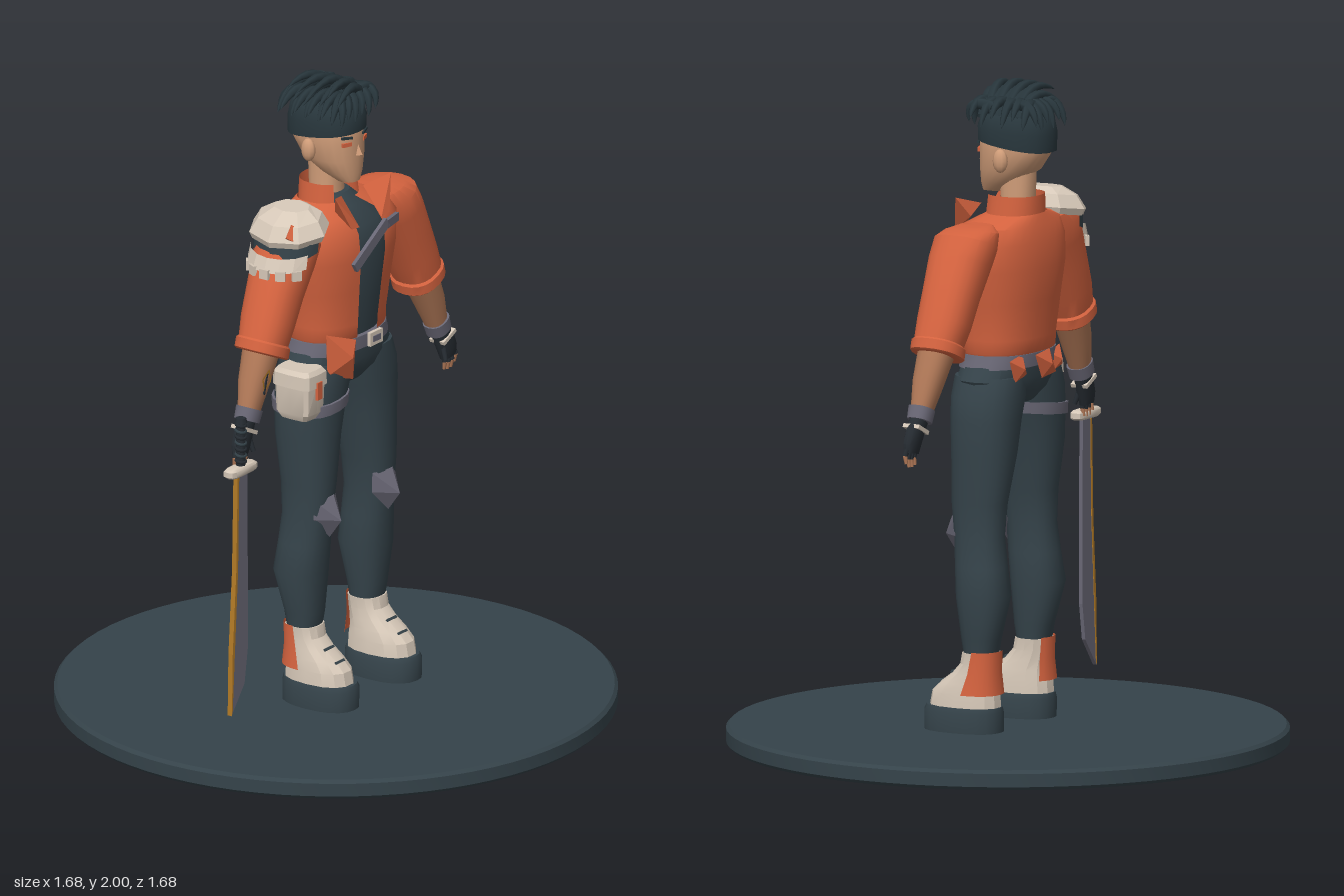
import * as THREE from 'three';
import { toCreasedNormals } from 'three/addons/utils/BufferGeometryUtils.js';
import { ConvexGeometry } from 'three/addons/geometries/ConvexGeometry.js';

const mat = (name, color) => {
  const m = new THREE.MeshStandardMaterial({ color, side: THREE.DoubleSide });
  m.name = name;
  return m;
};
const V = (x, y, z) => new THREE.Vector3(x, y, z);

// Skin a stack of rings, bottom to top: [y, x, z, radiusX, radiusZ, tiltX, tiltZ]
function loft(rows, { n = 20, from = 0, to = 360, crease = 0.7, e = 0.85 } = {}) {
  const pos = [], idx = [], w = n + 1, full = to - from === 360;
  const pw = (v) => Math.sign(v) * Math.abs(v) ** e;
  for (const [y, cx, cz, rx, rz, tx = 0, tz = 0] of rows) {
    for (let i = 0; i <= n; i++) {
      const a = THREE.MathUtils.degToRad(from + ((to - from) * i) / n);
      const dx = rx * pw(Math.cos(a)), dz = rz * pw(Math.sin(a));
      pos.push(cx + dx, y + tx * dx + tz * dz, cz + dz);
    }
  }
  for (let j = 0; j < rows.length - 1; j++) {
    for (let i = 0; i < n; i++) {
      const a = j * w + i, c = a + w;
      idx.push(a + 1, a, c, a + 1, c, c + 1);
    }
  }
  if (full) {
    [0, rows.length - 1].forEach((j) => {
      const c = pos.length / 3, [y, x, z] = rows[j];
      pos.push(x, y, z);
      for (let i = 0; i < n; i++) {
        const a = j * w + i;
        j ? idx.push(c, a + 1, a) : idx.push(c, a, a + 1);
      }
    });
  }
  const g = new THREE.BufferGeometry();
  g.setAttribute('position', new THREE.Float32BufferAttribute(pos, 3));
  g.setIndex(idx);
  return toCreasedNormals(g, crease);
}

// Flat plate cut from an outline in the xy plane
function plate(points, z, depth = 0.008) {
  const s = new THREE.Shape(points.map(([x, y]) => new THREE.Vector2(x, y)));
  return new THREE.ExtrudeGeometry(s, { depth, bevelEnabled: false }).translate(0, 0, z);
}

// Tapered curved hair lock
function lock(a, b, c, r) {
  const curve = new THREE.QuadraticBezierCurve3(a, b, c);
  const g = new THREE.TubeGeometry(curve, 8, r, 6, false), p = g.attributes.position;
  for (let i = 0; i < p.count; i++) {
    const t = Math.floor(i / 7) / 8, o = curve.getPointAt(t);
    const v = V().fromBufferAttribute(p, i).sub(o).multiplyScalar((1 - t) ** 0.6).add(o);
    p.setXYZ(i, v.x, v.y, v.z);
  }
  return g;
}

export function createModel() {
  const root = new THREE.Group();
  root.name = 'swordFighter';
  const dark = mat('dark slate', 0x35434a), hairMat = mat('hair', 0x28363c), black = mat('glove black', 0x262c32);
  const orange = mat('jacket orange', 0xd5633f), skin = mat('skin', 0xcf9c78), tan = mat('arm skin', 0xb07857);
  const cream = mat('cream', 0xd6c8b8), grey = mat('purple grey', 0x696775), gold = mat('gold', 0xb27a26);

  const add = (name, geo, m) => {
    const mesh = new THREE.Mesh(geo, m);
    mesh.name = name;
    root.add(mesh);
    return mesh;
  };
  const box = (name, m, w, h, d, x, y, z, rx = 0, ry = 0, rz = 0) => {
    const b = add(name, new THREE.BoxGeometry(w, h, d), m);
    b.position.set(x, y, z);
    b.rotation.set(rx, ry, rz);
    return b;
  };
  const rod = (name, m, a, b, r, r2 = r) => {
    const c = add(name, new THREE.CylinderGeometry(r2, r, a.distanceTo(b), 8), m);
    c.position.copy(a).lerp(b, 0.5);
    c.quaternion.setFromUnitVectors(V(0, 1, 0), b.clone().sub(a).normalize());
    return c;
  };

  // Display base
  const rim = [[0, 0], [0.83, 0], [0.84, 0.01], [0.84, 0.05], [0.83, 0.06], [0, 0.06]];
  add('base', toCreasedNormals(new THREE.LatheGeometry(rim.map(([x, y]) => new THREE.Vector2(x, y)), 72), 0.6), dark);

  // Trunk
  add('pelvis', loft([[1.04, 0, 0, 0.07, 0.07], [1.08, 0, 0, 0.19, 0.1], [1.12, 0, 0, 0.212, 0.112], [1.19, 0, 0, 0.175, 0.11]]), dark);
  add('shirt', loft([[1.17, 0, 0, 0.15, 0.1], [1.3, 0, 0, 0.17, 0.115], [1.46, 0, 0, 0.19, 0.124],
    [1.54, 0, 0, 0.18, 0.11], [1.59, 0, -0.02, 0.1, 0.085], [1.625, 0, -0.03, 0.062, 0.062]]), dark);
  add('jacketBody', loft([[1.185, 0, 0, 0.165, 0.108], [1.2, 0, 0, 0.175, 0.118], [1.24, 0, 0, 0.175, 0.12],
    [1.35, 0, 0, 0.195, 0.13], [1.45, 0, 0, 0.215, 0.14], [1.53, 0, 0, 0.225, 0.134], [1.58, 0, -0.01, 0.2, 0.112],
    [1.61, 0, -0.03, 0.1, 0.08]], { n: 32, from: 103, to: 437 }), orange);
  add('collar', loft([[1.57, 0, -0.025, 0.095, 0.085], [1.665, 0, -0.03, 0.085, 0.08]], { from: 130, to: 410 }), orange);
  for (const s of [1, -1]) {
    add('lapel', new ConvexGeometry([V(s * 0.055, 1.635, 0.06), V(s * 0.14, 1.66, 0.1), V(s * 0.095, 1.555, 0.128),
      V(s * 0.055, 1.55, 0.128), V(s * 0.1, 1.6, 0.07)]), orange);
  }
  add('belt', loft([[1.155, 0, 0, 0.192, 0.118], [1.195, 0, 0, 0.18, 0.118]]), grey);
  box('buckle', cream, 0.062, 0.042, 0.012, 0.03, 1.175, 0.122);
  box('buckleCentre', grey, 0.038, 0.018, 0.006, 0.03, 1.175, 0.128);
  box('chestStrap', grey, 0.19, 0.032, 0.012, -0.02, 1.487, 0.143, 0, 0, 0.56);
  box('chestStrapEnd', grey, 0.075, 0.026, 0.012, 0.095, 1.53, 0.136, 0, 0.2, 0);
  add('waistSash', new ConvexGeometry([V(-0.165, 1.23, 0.085), V(-0.065, 1.195, 0.122), V(-0.07, 1.07, 0.115),
    V(-0.165, 1.1, 0.09), V(-0.1, 1.15, 0.137), V(-0.13, 1.15, 0.06)]), orange);
  for (const [x, z, w] of [[0.11, -0.1, 0.06], [-0.02, -0.118, 0.07], [-0.11, -0.1, 0.045]]) {
    const k = add('backSash', toCreasedNormals(new THREE.OctahedronGeometry(1), 0.1), orange);
    k.scale.set(w, 0.048, 0.024);
    k.position.set(x, 1.155, z);
    k.rotation.z = 0.5;
  }

  // Legs, knee pads and boots
  for (const s of [1, -1]) {
    const x = s * 0.157;
    add('leg', loft([[0.27, x, 0, 0.052, 0.045], [0.34, x, 0, 0.058, 0.058], [0.47, s * 0.162, -0.01, 0.078, 0.08],
      [0.56, s * 0.158, 0, 0.07, 0.078], [0.65, s * 0.155, 0.008, 0.062, 0.077], [0.75, s * 0.15, 0.01, 0.07, 0.085],
      [0.9, s * 0.14, 0, 0.088, 0.098], [1, s * 0.13, 0, 0.1, 0.103], [1.07, s * 0.115, 0, 0.108, 0.107],
      [1.13, s * 0.1, 0, 0.1, 0.105]]), dark);
    const k = s * 0.147;
    add('kneePad', new ConvexGeometry([V(k - 0.053, 0.71, 0.065), V(k + 0.053, 0.71, 0.065), V(k - 0.055, 0.65, 0.065),
      V(k + 0.055, 0.65, 0.065), V(k, 0.585, 0.085), V(k, 0.645, 0.128), V(k, 0.72, 0.1)]), grey);
    add('bootSole', loft([[0.06, x, 0.06, 0.079, 0.125], [0.12, x, 0.06, 0.08, 0.125], [0.135, x, 0.058, 0.074, 0.12]]), dark);
    add('boot', loft([[0.13, x, 0.055, 0.07, 0.114], [0.175, x, 0.052, 0.068, 0.108], [0.205, x, 0.04, 0.063, 0.09],
      [0.235, x, 0.02, 0.058, 0.07], [0.265, x, 0.005, 0.055, 0.058], [0.3, x, 0, 0.057, 0.055]], { n: 14, crease: 0.4 }), cream);
    const a = s > 0 ? 230 : 180;
    add('bootHeelPatch', loft([[0.175, x, 0.03, 0.075, 0.095], [0.24, x, 0.012, 0.064, 0.07], [0.305, x, 0, 0.061, 0.06]],
      { n: 10, from: a, to: a + 130 }), orange);
    for (const y of [0.2, 0.235]) box('bootLace', dark, 0.045, 0.008, 0.008, x, y, 0.128 - (y - 0.2) * 1.1, -0.7);
  }

  // Hip pouch and thigh strap
  add('thighStrap', loft([[0.985, -0.13, 0, 0.105, 0.11, 0.1], [1.02, -0.128, 0, 0.108, 0.112, 0.1]]), grey);
  add('pouch', loft([[0.98, -0.222, 0.03, 0.04, 0.05], [1, -0.222, 0.03, 0.05, 0.062], [1.1, -0.222, 0.03, 0.052, 0.066]],
    { n: 12, e: 0.4, crease: 0.5 }), cream);
  add('pouchLid', loft([[1.085, -0.222, 0.03, 0.058, 0.072], [1.125, -0.222, 0.03, 0.056, 0.07], [1.138, -0.222, 0.03, 0.045, 0.06]],
    { n: 12, e: 0.4, crease: 0.5 }), cream);
  box('pouchTab', orange, 0.024, 0.055, 0.008, -0.222, 1.075, 0.101);

  // Arms and gloved hands
  for (const s of [1, -1]) {
    const t = s * 0.45;
    add('sleeve', loft([[1.225, s * 0.395, 0.015, 0.066, 0.074, t], [1.23, s * 0.394, 0.015, 0.071, 0.08, t],
      [1.258, s * 0.386, 0.015, 0.071, 0.08, t], [1.264, s * 0.384, 0.015, 0.065, 0.073, t],
      [1.32, s * 0.358, 0.012, 0.07, 0.08, t], [1.4, s * 0.32, 0.01, 0.074, 0.084, t], [1.49, s * 0.272, 0.008, 0.08, 0.092, t],
      [1.545, s * 0.24, 0.005, 0.08, 0.094, t], [1.578, s * 0.21, 0, 0.068, 0.08, s * 0.2], [1.594, s * 0.19, 0, 0.04, 0.05]]), orange);
    add('forearm', loft([[1.05, s * 0.478, 0.025, 0.03, 0.028, t], [1.15, s * 0.44, 0.02, 0.042, 0.045, t],
      [1.25, s * 0.392, 0.015, 0.05, 0.055, t]]), tan);
    add('wristBand', loft([[1.042, s * 0.482, 0.025, 0.036, 0.036, t], [1.078, s * 0.468, 0.025, 0.038, 0.038, t]]), grey);
    add('gloveHand', loft([[0.95, s * 0.522, 0.03, 0.032, 0.016, s * 0.2], [0.975, s * 0.517, 0.03, 0.037, 0.021, s * 0.2],
      [1.01, s * 0.503, 0.028, 0.034, 0.023, t], [1.05, s * 0.482, 0.025, 0.028, 0.025, t]], { n: 12 }), black);
    box('gloveCuffPlate', cream, 0.065, 0.012, 0.055, s * 0.498, 1.02, 0.028, 0, 0, s * 0.45);
    for (let i = 0; i < 4; i++) {
      const fx = 0.497 + i * 0.017, drop = [0.004, 0, 0.002, 0.014][i];
      const knuckle = V(s * fx, 0.965, 0.03), mid = V(s * (fx + 0.004), 0.932 + drop, 0.034), tip = V(s * (fx + 0.004), 0.908 + drop, 0.03);
      rod('gloveFinger', black, knuckle, mid, 0.0085);
      rod('fingertip', tan, mid, tip, 0.0075, 0.005);
    }
    rod('thumb', black, V(s * 0.488, 0.995, 0.035), V(s * 0.482, 0.95, 0.05), 0.01, 0.007);
  }
  const tattoo = add('tattoo', new THREE.RingGeometry(0.017, 0.024, 4), gold);
  tattoo.position.set(-0.44, 1.165, 0.068);
  tattoo.rotation.z = -0.4;
  tattoo.scale.y = 1.5;
  box('tattooLine', black, 0.006, 0.085, 0.004, -0.44, 1.165, 0.066, -0.1, 0, -0.4);

  // Shoulder armour
  const hard = { n: 8, crease: 0.05, e: 1 };
  add('shoulderDome', loft([[1.565, -0.255, 0.015, 0.1, 0.12, 0.15], [1.585, -0.255, 0.015, 0.108, 0.13, 0.15],
    [1.625, -0.252, 0.015, 0.085, 0.105, 0.15], [1.65, -0.242, 0.015, 0.045, 0.06, 0.08]], hard), cream);
  add('shoulderGap', loft([[1.53, -0.262, 0.015, 0.09, 0.11, 0.25], [1.57, -0.257, 0.015, 0.09, 0.112, 0.2]],
    { n: 8, from: 90, to: 270, e: 1 }), dark);
  add('shoulderLowerPlate', loft([[1.5, -0.28, 0.015, 0.104, 0.115, 0.2], [1.54, -0.272, 0.015, 0.094, 0.112, 0.2]],
    { n: 6, from: 110, to: 250, e: 1, crease: 0.05 }), cream);
  for (let i = 0; i < 5; i++) {
    const a = THREE.MathUtils.degToRad(125 + i * 27);
    box('shoulderTooth', cream, 0.012, 0.03, 0.03, -0.282 + 0.1 * Math.cos(a), 1.475, 0.015 + 0.11 * Math.sin(a), 0, -a, 0);
  }
  box('shoulderMark', orange, 0.045, 0.007, 0.03, -0.322, 1.598, 0.078, 0.6, 0.6, 0.6);

  // Head and face
  add('neck', loft([[1.56, 0, -0.03, 0.052, 0.052], [1.64, 0, -0.035, 0.05, 0.05], [1.74, 0, -0.035, 0.05, 0.055]]), skin);
  add('head', loft([[1.67, 0, 0.045, 0.034, 0.034], [1.695, 0, 0.022, 0.055, 0.06], [1.74, 0, -0.01, 0.08, 0.092],
    [1.8, 0, -0.03, 0.09, 0.112], [1.87, 0, -0.033, 0.09, 0.112], [1.92, 0, -0.033, 0.06, 0.08]]), skin);
  add('nose', new ConvexGeometry([V(0, 1.795, 0.078), V(-0.013, 1.752, 0.075), V(0.013, 1.752, 0.075), V(0, 1.757, 0.098)]), skin);
  box('mouth', tan, 0.036, 0.006, 0.008, 0, 1.722, 0.075);
  for (const s of [1, -1]) {
    box('eye', orange, 0.032, 0.012, 0.008, s * 0.044, 1.796, 0.072, 0, s * 0.35, 0);
    box('eyebrow', hairMat, 0.038, 0.007, 0.008, s * 0.044, 1.817, 0.073, 0, s * 0.35, s * 0.1);
    const ear = add('ear', new THREE.SphereGeometry(1, 10, 8), skin);
    ear.scale.set(0.018, 0.036, 0.024);
    ear.position.set(s * 0.098, 1.775, -0.03);
  }

  // Hair: close cap and swept locks
  add('hairCap', loft([[1.813, 0, -0.033, 0.096, 0.12, 0, 0.13], [1.86, 0, -0.033, 0.098, 0.121, 0, 0.08],
    [1.9, 0, -0.035, 0.088, 0.11], [1.93, 0, -0.035, 0.06, 0.08], [1.945, 0, -0.035, 0.02, 0.03]]), hairMat);
  for (let i = 0; i < 9; i++) {
    const u = i / 8, z = -0.13 + 0.2 * u, odd = i % 2;
    add('topLock', lock(V(0.07, 1.9, z * 0.6), V(0, 2.025 + 0.012 * odd - 0.02 * Math.abs(u - 0.6), z * 0.8 + 0.01),
      V(-0.105 - 0.045 * Math.sin(u * 3), 1.93 + 0.035 * odd, z + 0.015), 0.022), hairMat);
    add('sideLock', lock(V(-0.01, 1.92, z * 0.7), V(-0.075, 1.985, z * 0.9), V(-0.118 - 0.02 * odd, 1.875 + 0.02 * odd, z), 0.022), hairMat);
  }
  for (let i = 0; i < 6; i++) {
    const z = -0.12 + 0.036 * i;
    add('leftLock', lock(V(0, 1.92, z * 0.7), V(0.085, 1.985, z), V(0.122, 1.875 + 0.025 * (i % 2), z), 0.024), hairMat);
    const x = -0.08 + 0.034 * i;
    add('backLock', lock(V(x * 0.5, 1.93, -0.05), V(x, 1.97, -0.14), V(x, 1.865 + 0.02 * (i % 2), -0.15), 0.024), hairMat);
    add('fringeLock', lock(V(x * 0.6 + 0.02, 1.93, 0.01), V(x, 1.965, 0.095), V(x - 0.015, 1.865 + 0.015 * (i % 2), 0.09), 0.022), hairMat);
  }

  // Sword
  const sz = 0.05;
  add('blade', plate([[-0.568, 0.91], [-0.52, 0.91], [-0.518, 0.34], [-0.535, 0.23], [-0.6, 0.145], [-0.592, 0.34], [-0.574, 0.6]], sz - 0.006, 0.012), grey);
  add('bladeEdge', plate([[-0.572, 0.9], [-0.564, 0.9], [-0.57, 0.6], [-0.586, 0.34], [-0.597, 0.16], [-0.601, 0.145], [-0.597, 0.34], [-0.579, 0.6]], sz - 0.008, 0.016), gold);
  add('guard', loft([[0.898, -0.547, sz, 0.06, 0.018], [0.904, -0.547, sz, 0.067, 0.023], [0.92, -0.547, sz, 0.067, 0.023],
    [0.926, -0.547, sz, 0.06, 0.018]], { n: 12, e: 0.5 }), cream);
  rod('grip', black, V(-0.546, 0.92, sz), V(-0.546, 1.065, sz), 0.015);
  for (let i = 0; i < 7; i++) {
    const ring = add('gripWrap', new THREE.TorusGeometry(0.015, 0.005, 5, 10), i % 2 ? dark : black);
    ring.position.set(-0.546, 0.94 + i * 0.019, sz);
    ring.rotation.x = Math.PI / 2 + 0.2;
  }
  rod('pommel', black, V(-0.546, 1.06, sz), V(-0.546, 1.075, sz), 0.02, 0.016);

  return root;
}
